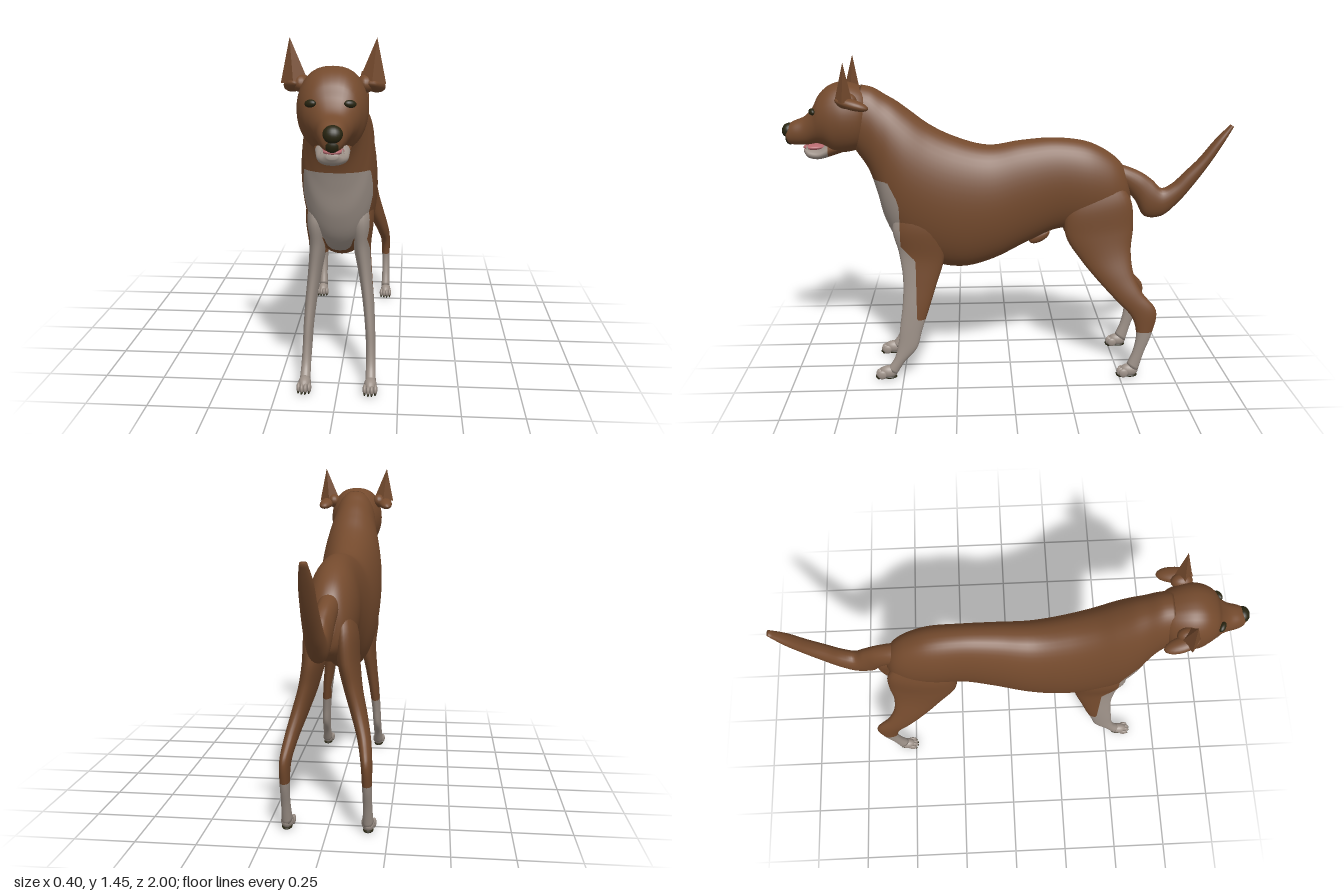
import * as THREE from 'three';

const mat = (name, color, extra = {}) => {
  const m = new THREE.MeshStandardMaterial({ color, ...extra });
  m.name = name;
  return m;
};

// Lofts oval rings through sections: [z, y of one edge, z, y of the opposite edge, centre x, half width]
function loft(sections, { steps = 6, sides = 36, power = 0.9, side = 1 } = {}) {
  const a = new THREE.CatmullRomCurve3(sections.map(s => new THREE.Vector3(s[4] * side, s[1], s[0])));
  const b = new THREE.CatmullRomCurve3(sections.map(s => new THREE.Vector3(s[5], s[3], s[2])));
  const rings = (sections.length - 1) * steps;
  const pos = [], idx = [];
  for (let i = 0; i <= rings; i++) {
    const p = a.getPoint(i / rings), q = b.getPoint(i / rings);
    for (let j = 0; j < sides; j++) {
      const t = j / sides * Math.PI * 2, c = Math.cos(t), s = Math.sin(t);
      pos.push(p.x + q.x * Math.sign(s) * Math.abs(s) ** power,
        (p.y + q.y) / 2 + (p.y - q.y) / 2 * c, (p.z + q.z) / 2 + (p.z - q.z) / 2 * c);
    }
  }
  for (const i of [0, rings]) {
    const p = a.getPoint(i / rings), q = b.getPoint(i / rings);
    pos.push(p.x, (p.y + q.y) / 2, (p.z + q.z) / 2);
  }
  const end = (rings + 1) * sides;
  for (let j = 0; j < sides; j++) {
    const k = (j + 1) % sides;
    for (let i = 0; i < rings; i++) {
      const r = i * sides, n = r + sides;
      idx.push(r + j, n + j, r + k, r + k, n + j, n + k);
    }
    idx.push(end, j, k, end + 1, rings * sides + k, rings * sides + j);
  }
  const g = new THREE.BufferGeometry();
  g.setAttribute('position', new THREE.Float32BufferAttribute(pos, 3));
  g.setIndex(idx);
  g.computeVertexNormals();
  return g;
}

// Cuts a geometry where rule(x, y, z) = 0: group 0 is the negative part, group 1 the positive part
function divide(geo, rule) {
  const P = geo.attributes.position.array, N = geo.attributes.normal.array, I = geo.index.array;
  const pos = [], nor = [], out = new THREE.BufferGeometry();
  [-1, 1].forEach((sign, group) => {
    const start = pos.length / 3;
    for (let t = 0; t < I.length; t += 3) {
      const tri = [0, 1, 2].map(k => {
        const o = I[t + k] * 3;
        return { v: [...P.slice(o, o + 3), ...N.slice(o, o + 3)], f: sign * rule(P[o], P[o + 1], P[o + 2]) };
      });
      const poly = [];
      tri.forEach((c, k) => {
        const d = tri[(k + 1) % 3];
        if (c.f >= 0) poly.push(c.v);
        if ((c.f >= 0) !== (d.f >= 0)) poly.push(c.v.map((n, m) => n + (d.v[m] - n) * c.f / (c.f - d.f)));
      });
      for (let k = 1; k + 1 < poly.length; k++) {
        for (const v of [poly[0], poly[k], poly[k + 1]]) {
          pos.push(...v.slice(0, 3));
          nor.push(...v.slice(3));
        }
      }
    }
    out.addGroup(start, pos.length / 3 - start, group);
  });
  out.setAttribute('position', new THREE.Float32BufferAttribute(pos, 3));
  out.setAttribute('normal', new THREE.Float32BufferAttribute(nor, 3));
  return out;
}

export function createModel() {
  const dog = new THREE.Group();
  dog.name = 'dog';
  const brown = mat('brown coat', 0x744a2d), white = mat('white coat', 0x9d9188);
  const dark = mat('nose and claws', 0x272410), pink = mat('tongue', 0xb86a70);
  const earBrown = mat('ear brown', 0x744a2d, { flatShading: true });

  const add = (name, geo, material) => {
    const m = new THREE.Mesh(geo, material);
    m.name = name;
    dog.add(m);
    return m;
  };
  const blob = (name, material, [x, y, z], [sx, sy, sz], tilt = 0) => {
    const m = add(name, new THREE.SphereGeometry(1, 20, 14), material);
    m.position.set(x, y, z);
    m.scale.set(sx, sy, sz);
    m.rotation.x = tilt;
    return m;
  };

  // Chest patch edge: further back low on the chest, with a level top
  const patch = (y, z) => Math.min(z - THREE.MathUtils.clamp(0.44 + (y - 0.58), 0.43, 0.495)
    - Math.max(0, y - 0.84) * 0.5, 0.935 - y);

  // Torso and neck
  add('torso', divide(loft([
    [-0.535, 0.93, -0.55, 0.80, 0, 0.03], [-0.50, 0.985, -0.53, 0.74, 0, 0.068],
    [-0.45, 1.03, -0.46, 0.69, 0, 0.095], [-0.35, 1.08, -0.36, 0.68, 0, 0.109],
    [-0.20, 1.10, -0.22, 0.68, 0, 0.108], [-0.05, 1.09, -0.08, 0.62, 0, 0.119],
    [0.10, 1.07, 0.08, 0.54, 0, 0.136], [0.25, 1.11, 0.22, 0.505, 0, 0.147],
    [0.36, 1.165, 0.36, 0.53, 0, 0.152], [0.44, 1.225, 0.50, 0.62, 0, 0.15],
    [0.50, 1.27, 0.565, 0.74, 0, 0.136], [0.55, 1.30, 0.595, 0.86, 0, 0.12],
    [0.60, 1.33, 0.63, 0.97, 0, 0.108], [0.65, 1.342, 0.68, 1.05, 0, 0.1],
  ], { sides: 48 }), (x, y, z) => patch(y, z)), [brown, white]);
  blob('bellyFold', brown, [0, 0.637, -0.135], [0.02, 0.024, 0.052], 0.5);

  // Tail
  add('tail', loft([
    [-0.985, 1.157, -1.0, 1.148, 0.024, 0.014], [-0.92, 1.088, -0.957, 1.072, 0.024, 0.027],
    [-0.85, 1.00, -0.90, 0.98, 0.024, 0.032], [-0.79, 0.94, -0.83, 0.88, 0.023, 0.036],
    [-0.738, 0.888, -0.765, 0.80, 0.021, 0.039], [-0.69, 0.866, -0.69, 0.736, 0.019, 0.041],
    [-0.645, 0.905, -0.615, 0.735, 0.015, 0.042], [-0.59, 0.942, -0.57, 0.81, 0.008, 0.043],
    [-0.50, 0.975, -0.50, 0.88, 0, 0.042], [-0.45, 0.98, -0.45, 0.9, 0, 0.03],
  ], { sides: 24 }), brown);

  // Head with muzzle
  add('head', loft([
    [0.59, 1.29, 0.63, 1.10, 0, 0.07], [0.64, 1.33, 0.665, 1.065, 0, 0.11],
    [0.72, 1.355, 0.72, 1.05, 0, 0.13], [0.78, 1.345, 0.77, 1.05, 0, 0.126],
    [0.83, 1.305, 0.815, 1.08, 0.003, 0.106], [0.86, 1.25, 0.85, 1.09, 0.007, 0.083],
    [0.90, 1.208, 0.89, 1.085, 0.012, 0.062], [0.95, 1.187, 0.94, 1.085, 0.015, 0.05],
    [0.98, 1.165, 0.97, 1.092, 0.017, 0.036], [0.988, 1.145, 0.98, 1.115, 0.018, 0.015],
  ], { power: 0.8 }), brown);
  add('lowerJaw', divide(loft([
    [0.72, 1.12, 0.72, 1.055, 0, 0.085], [0.79, 1.10, 0.785, 1.033, 0.004, 0.066],
    [0.84, 1.067, 0.845, 1.018, 0.008, 0.057], [0.885, 1.067, 0.89, 1.026, 0.01, 0.044],
    [0.905, 1.073, 0.91, 1.05, 0.012, 0.02],
  ]), (x, y, z) => z - 0.8), [brown, white]);
  blob('tongue', pink, [0.012, 1.073, 0.865], [0.04, 0.013, 0.048]);
  blob('nose', dark, [0.02, 1.15, 0.971], [0.035, 0.032, 0.027], -0.4);
  blob('upperLip', dark, [0.018, 1.112, 0.966], [0.027, 0.027, 0.02]);

  for (const s of [-1, 1]) {
    // Eyes, teeth and ears
    const eye = blob('eye', dark, [s * 0.07 + 0.002, 1.237, 0.855], [0.023, 0.014, 0.013], -0.3);
    eye.rotation.y = s * 0.5;
    const tooth = add('tooth', new THREE.ConeGeometry(0.006, 0.022, 8), white);
    tooth.position.set(0.012 + s * 0.036, 1.078, 0.89);
    const ear = add('earTip', new THREE.ConeGeometry(1, 1, 4).translate(0, 0.5, 0), earBrown);
    ear.position.set(s * 0.142, 1.295, 0.708);
    ear.scale.set(0.05, 0.161, 0.036);
    ear.rotation.set(-0.04, 0, -s * 0.1);
    const flap = blob('earFlap', brown, [s * 0.152, 1.279, 0.675], [0.034, 0.023, 0.075], -0.25);
    flap.rotation.y = -s * 0.2;
    blob('earBase', brown, [s * 0.118, 1.29, 0.70], [0.032, 0.034, 0.045]);

    // Front leg
    add('frontLeg', divide(loft([
      [0.47, 0.88, 0.34, 0.88, 0.08, 0.035], [0.53, 0.72, 0.29, 0.72, 0.09, 0.05],
      [0.505, 0.60, 0.305, 0.56, 0.092, 0.036], [0.49, 0.48, 0.34, 0.45, 0.106, 0.028],
      [0.495, 0.36, 0.375, 0.34, 0.12, 0.024], [0.51, 0.25, 0.41, 0.235, 0.129, 0.021],
      [0.52, 0.17, 0.435, 0.15, 0.133, 0.02], [0.54, 0.10, 0.492, 0.085, 0.135, 0.02],
      [0.57, 0.055, 0.53, 0.025, 0.136, 0.022],
    ], { side: s, sides: 28 }), (x, y, z) =>
      Math.max(0.29 - y, patch(y, z), Math.min(z - 0.39, 0.55 - y, 0.1 - s * x))), [brown, white]);

    // Hind leg
    add('hindLeg', divide(loft([
      [-0.33, 0.90, -0.46, 0.93, 0.05, 0.03], [-0.25, 0.77, -0.54, 0.83, 0.064, 0.047],
      [-0.25, 0.66, -0.555, 0.70, 0.073, 0.045], [-0.32, 0.55, -0.545, 0.60, 0.093, 0.039],
      [-0.40, 0.455, -0.555, 0.50, 0.122, 0.034], [-0.48, 0.37, -0.595, 0.41, 0.148, 0.028],
      [-0.55, 0.295, -0.66, 0.325, 0.163, 0.023], [-0.572, 0.215, -0.645, 0.22, 0.166, 0.02],
      [-0.56, 0.13, -0.61, 0.12, 0.167, 0.019], [-0.535, 0.065, -0.585, 0.03, 0.167, 0.022],
    ], { side: s, sides: 28 }), (x, y) => 0.225 - y), [brown, white]);

    // Paws with pads, toes and claws
    for (const [x, z, name] of [[0.136, 0.57, 'front'], [0.168, -0.545, 'hind']]) {
      blob(name + 'Paw', white, [s * x, 0.034, z], [0.026, 0.03, 0.042]);
      blob(name + 'Pad', dark, [s * x, 0.01, z - 0.005], [0.022, 0.009, 0.034]);
      for (let k = 0; k < 4; k++) {
        const u = k - 1.5, tx = s * x + u * 0.0145, tz = z + 0.04 - Math.abs(u) * 0.008;
        blob(name + 'Toe', white, [tx, 0.026, tz], [0.009, 0.021, 0.021]);
        blob(name + 'Claw', dark, [tx, 0.013, tz + 0.016], [0.004, 0.007, 0.008]);
      }
    }
  }
  return dog;
}
